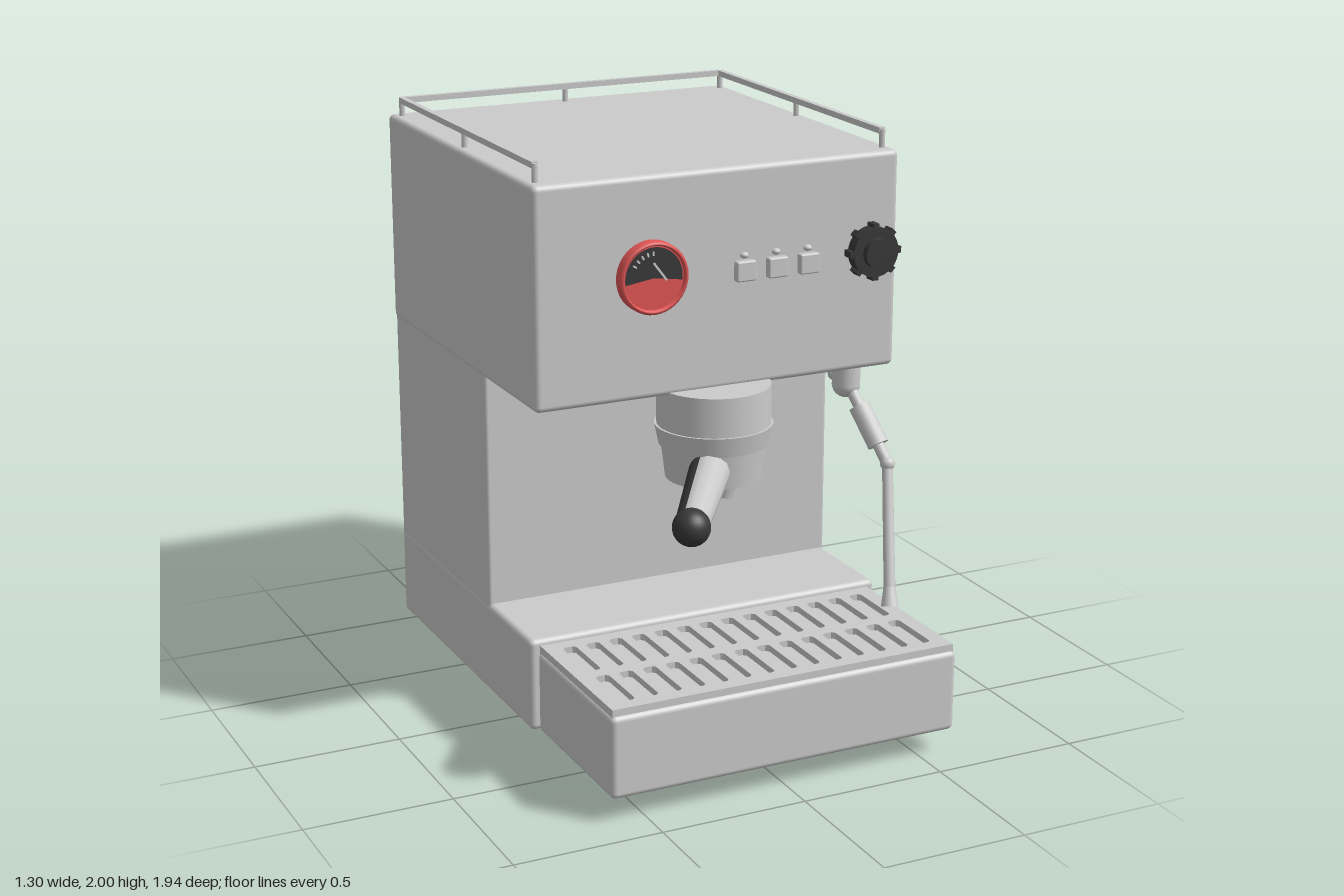
import * as THREE from 'three';
import { RoundedBoxGeometry } from 'three/addons/geometries/RoundedBoxGeometry.js';

const material = (color) => new THREE.MeshStandardMaterial({ color });
const grey = material(0xcccccc);
const dark = material(0x383838);
const red = material(0xe05555);
const panel = material(0xd0dae2);

export function createModel() {
  const model = new THREE.Group();

  function add(name, geometry, mat = grey, x = 0, y = 0, z = 0, parent = model) {
    const mesh = new THREE.Mesh(geometry, mat);
    mesh.name = name;
    mesh.position.set(x, y, z);
    parent.add(mesh);
    return mesh;
  }
  // Rounded box given by its limits
  function block(name, x0, x1, y0, y1, z0, z1, r = 0.02, mat = grey) {
    return add(name, new RoundedBoxGeometry(x1 - x0, y1 - y0, z1 - z0, 3, r), mat,
      (x0 + x1) / 2, (y0 + y1) / 2, (z0 + z1) / 2);
  }
  // Tapered rod from point a to point b
  function rod(name, a, b, ra, rb = ra, mat = grey, sides = 16, start = 0, arc = Math.PI * 2) {
    const p = new THREE.Vector3(...a), q = new THREE.Vector3(...b);
    const dir = q.clone().sub(p);
    const geometry = new THREE.CylinderGeometry(rb, ra, dir.length(), sides, 1, arc < 6, start, arc);
    const mesh = add(name, geometry, mat);
    mesh.position.copy(p).add(q).multiplyScalar(0.5);
    mesh.quaternion.setFromUnitVectors(new THREE.Vector3(0, 1, 0), dir.normalize());
    return mesh;
  }

  // Housing
  block('base', -0.645, 0.645, 0.08, 0.4, -0.905, 0.3);
  block('column', -0.643, 0.643, 0.36, 1.24, -0.903, -0.06, 0.012);
  block('head', -0.648, 0.648, 1.2, 1.93, -0.908, 0.387);
  block('backPanel', -0.6, 0.6, 0.31, 1.83, -0.968, -0.89, 0.012, panel);
  block('backStrip', -0.6, 0.6, 1.84, 1.9, -0.968, -0.89, 0.012, panel);

  // Feet
  for (const x of [-0.45, 0.45]) for (const z of [0.14, -0.36]) {
    add('foot', new THREE.CylinderGeometry(0.074, 0.066, 0.09, 24), dark, x, 0.045, z);
  }

  // Drip tray with a slotted grate
  block('dripTray', -0.62, 0.62, 0.08, 0.36, 0.3, 0.887);
  const plate = new THREE.Shape();
  plate.moveTo(-0.612, 0.305).lineTo(0.612, 0.305).lineTo(0.612, 0.875).lineTo(-0.612, 0.875).closePath();
  const columns = 14;
  for (let i = 0; i < columns; i++) for (const z of [0.46, 0.72]) {
    const x = (i - (columns - 1) / 2) * 0.082, w = 0.024, h = 0.105, c = 0.01;
    const slot = new THREE.Path();
    slot.moveTo(x - w + c, z - h).lineTo(x + w - c, z - h).lineTo(x + w, z - h + c)
      .lineTo(x + w, z + h - c).lineTo(x + w - c, z + h).lineTo(x - w + c, z + h)
      .lineTo(x - w, z + h - c).lineTo(x - w, z - h + c).closePath();
    plate.holes.push(slot);
  }
  const grate = new THREE.ExtrudeGeometry(plate, { depth: 0.03, bevelEnabled: false });
  grate.rotateX(Math.PI / 2);
  add('grate', grate, grey, 0, 0.382, 0);

  // Cup rail, open at the front
  const rx = 0.615, zf = 0.33, zb = -0.85, ry = 1.985;
  for (const s of [-1, 1]) {
    add('railSide', new THREE.BoxGeometry(0.02, 0.02, zf - zb), grey, s * rx, ry, (zf + zb) / 2);
  }
  add('railBack', new THREE.BoxGeometry(2 * rx, 0.02, 0.02), grey, 0, ry, zb);
  const posts = [[0, zb]];
  for (const s of [-1, 1]) for (const z of [zf, (zf + zb) / 2, zb]) posts.push([s * rx, z]);
  for (const [x, z] of posts) {
    add('railPost', new THREE.CylinderGeometry(0.01, 0.01, 0.07, 10), grey, x, 1.955, z);
  }

  // Pressure gauge
  const gauge = new THREE.Group();
  gauge.name = 'gauge';
  gauge.position.set(-0.25, 1.605, 0.385);
  model.add(gauge);
  const rim = [[0.119, 0], [0.119, 0.034], [0.113, 0.04], [0.108, 0.04], [0.104, 0.028]]
    .map(([r, y]) => new THREE.Vector2(r, y));
  add('gaugeRim', new THREE.LatheGeometry(rim, 40).rotateX(Math.PI / 2),
    new THREE.MeshStandardMaterial({ color: 0xe05555, side: THREE.DoubleSide }), 0, 0, 0, gauge);
  add('gaugeFace', new THREE.CircleGeometry(0.106, 40), red, 0, 0, 0.028, gauge);
  add('gaugeDial', new THREE.CircleGeometry(0.1, 32, -0.15, Math.PI + 0.3), dark, 0, 0, 0.03, gauge);
  add('gaugeLowerFace', new THREE.PlaneGeometry(0.15, 0.03), red, 0, -0.026, 0.031, gauge);
  const needle = add('gaugeNeedle', new THREE.BoxGeometry(0.007, 0.075, 0.004), grey, 0.02, 0.02, 0.034, gauge);
  needle.rotation.z = 0.65;
  for (let i = 0; i < 5; i++) {
    const a = 1.6 + i * 0.24;
    const tick = add('gaugeTick', new THREE.BoxGeometry(0.014, 0.006, 0.003), grey,
      Math.cos(a) * 0.08, Math.sin(a) * 0.08, 0.032, gauge);
    tick.rotation.z = a;
  }

  // Buttons and their lamps
  for (const x of [0.082, 0.197, 0.312]) {
    block('button', x - 0.035, x + 0.035, 1.555, 1.622, 0.37, 0.412, 0.006);
    const lamp = add('buttonLamp', new THREE.SphereGeometry(0.015, 16, 10), grey, x, 1.638, 0.388);
    lamp.scale.y = 0.7;
  }

  // Steam knob with grip ribs
  const knob = new THREE.Group();
  knob.name = 'steamKnob';
  knob.position.set(0.546, 1.605, 0.385);
  model.add(knob);
  const disc = (r, d) => new THREE.CylinderGeometry(r, r, d, 32).rotateX(Math.PI / 2);
  add('knobBody', disc(0.083, 0.045), dark, 0, 0, 0.0225, knob);
  add('knobHub', disc(0.05, 0.07), dark, 0, 0, 0.035, knob);
  for (let i = 0; i < 8; i++) {
    const a = i * Math.PI / 4;
    const rib = add('knobRib', new THREE.BoxGeometry(0.024, 0.022, 0.04), dark,
      Math.cos(a) * 0.083, Math.sin(a) * 0.083, 0.022, knob);
    rib.rotation.z = a;
  }

  // Brew group and filter holder
  const gz = 0.34;
  rod('brewGroup', [0, 1.075, gz], [0, 1.21, gz], 0.188, 0.188, grey, 40);
  rod('brewCollar', [0, 1.01, gz], [0, 1.078, gz], 0.182, 0.196, grey, 40);
  rod('filterHolder', [0, 0.895, gz], [0, 1.012, gz], 0.16, 0.174, grey, 40);
  for (const s of [-1, 1]) {
    rod('spout', [s * 0.045, 0.805, gz], [s * 0.072, 0.91, gz], 0.02, 0.036);
  }

  // Handle with a dark grip line and end ball
  const h0 = [-0.06, 0.953, 0.44], h1 = [-0.36, 0.953, 0.91];
  rod('handle', h0, h1, 0.068, 0.052, grey, 12);
  rod('handleLine', h0, h1, 0.0695, 0.0535, dark, 4, Math.PI * 0.95, 0.9);
  add('handleBall', new THREE.SphereGeometry(0.06, 24, 16), dark, ...h1);

  // Steam wand
  const w0 = [0.522, 1.14, 0.29], w1 = [0.585, 0.885, 0.47], w2 = [0.517, 0.44, 0.625];
  const along = (t) => w0.map((v, i) => v + (w1[i] - v) * t);
  rod('wandSocket', [0.522, 1.12, 0.29], [0.522, 1.21, 0.29], 0.048);
  add('wandJoint', new THREE.SphereGeometry(0.048, 20, 14), grey, 0.522, 1.125, 0.29);
  rod('wandPin', [0.522, 1.145, 0.29], [0.522, 1.145, 0.215], 0.03);
  rod('wandArm', w0, w1, 0.02);
  rod('wandSleeve', along(0.32), along(0.78), 0.036);
  add('wandElbow', new THREE.SphereGeometry(0.025, 16, 12), grey, ...w1);
  rod('wandTube', w1, w2, 0.018, 0.02);
  rod('wandTip', [0.526, 0.5, 0.604], w2, 0.02, 0.03);

  return model;
}
